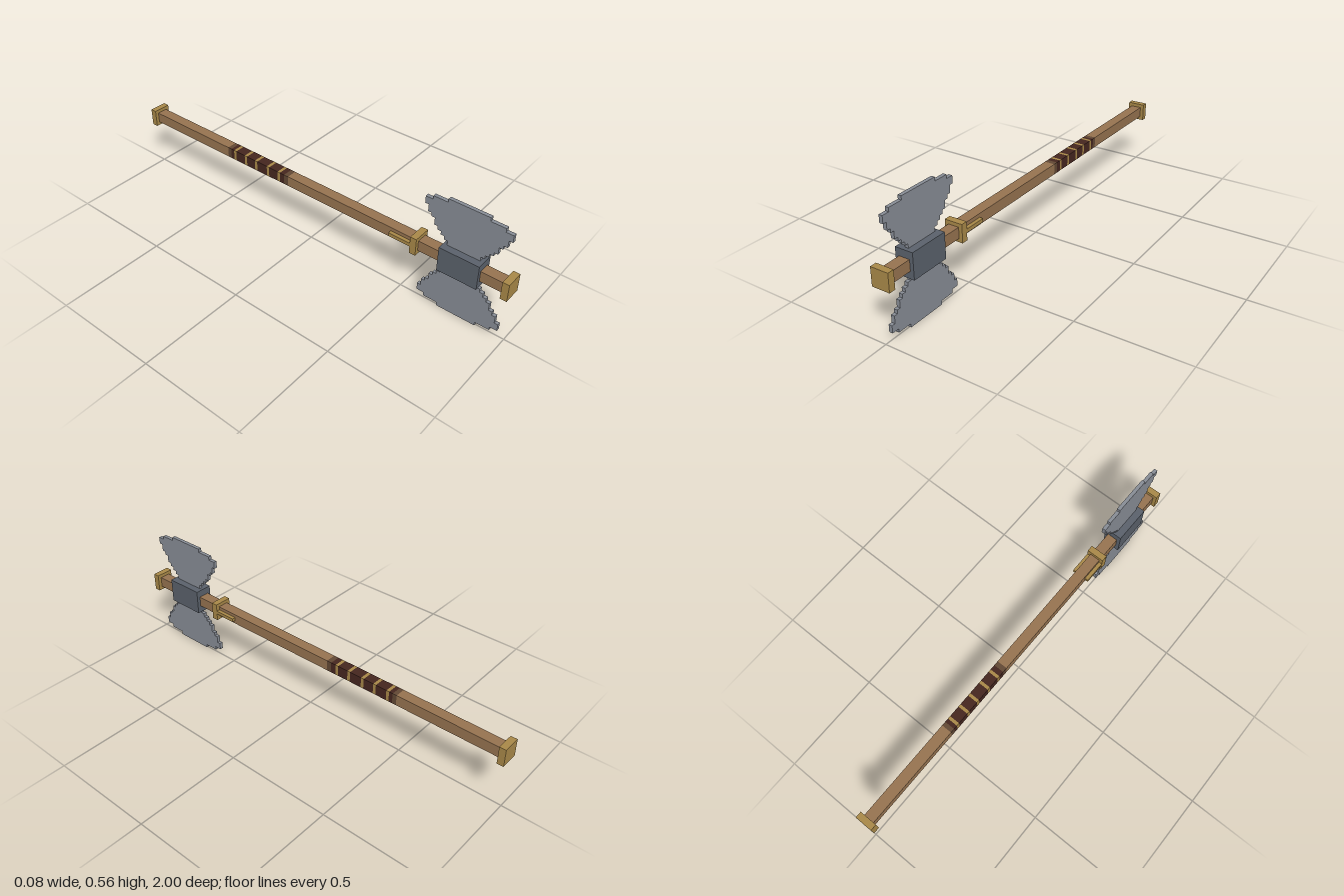
import * as THREE from 'three';

const U = 1 / 60;          // base grid step
const CY = 16.67 * U;      // height of the shaft axis
const HEAD_Z = 0.777;      // centre of the axe head

function material(name, color) {
  const m = new THREE.MeshStandardMaterial({ color });
  m.name = name;
  return m;
}

export function createModel() {
  const wood = material('wood', 0x967350);
  const gold = material('gold', 0xa88848);
  const darkSteel = material('dark steel', 0x5a616b);
  const steel = material('steel', 0x878c95);
  const leather = material('leather', 0x45261f);
  const stainedWood = material('stained wood', 0x624834);

  const model = new THREE.Group();
  model.name = 'doubleAxe';

  // Box centred on the shaft axis, spanning z0 to z1
  function block(name, mat, width, height, z0, z1, x = 0) {
    const mesh = new THREE.Mesh(new THREE.BoxGeometry(width, height, z1 - z0), mat);
    mesh.name = name;
    mesh.position.set(x, CY, (z0 + z1) / 2);
    model.add(mesh);
  }

  // Shaft, interrupted by the grip
  const shaft = 3 * U;
  block('rearShaft', wood, shaft, shaft, -0.972, -0.485);
  block('frontShaft', wood, shaft, shaft, -0.115, 0.972);

  // Grip: stained ends, leather wraps and thin gold rings
  block('gripRearEnd', stainedWood, shaft, shaft, -0.485, -0.465);
  block('gripFrontEnd', stainedWood, shaft, shaft, -0.138, -0.115);
  let z = -0.465;
  for (const ring of [-0.44, -0.372, -0.308, -0.235, -0.17]) {
    block('gripWrap', leather, shaft, shaft, z, ring - 0.007);
    block('gripRing', gold, shaft, shaft, ring - 0.007, ring + 0.007);
    z = ring + 0.007;
  }
  block('gripWrap', leather, shaft, shaft, z, -0.138);

  // End caps, collar and its two side prongs
  const cap = 5 * U;
  block('pommel', gold, cap, cap, -1, -0.97);
  block('frontCap', gold, cap, cap, 0.97, 1);
  block('collar', gold, cap, cap, 0.552, 0.582);
  for (const side of [-1, 1]) {
    block('collarProng', gold, U, U, 0.447, 0.552, side * 2 * U);
  }

  // Head socket
  block('headSocket', darkSteel, cap, 7 * U, HEAD_Z - 5.5 * U, HEAD_Z + 5.5 * U);

  // Stepped blade outline: [distance from axis, half width] of each row's inner edge
  const rows = [[3, 4.5], [4.67, 5.5], [5.67, 6.5], [6.67, 7.5], [7.67, 8.5],
    [9.67, 9.5], [10.67, 10.5], [12.67, 11.5], [14.67, 9.5], [15.67, 5.5]];
  const edge = [];
  rows.forEach(([y, w], i) => {
    const top = i + 1 < rows.length ? rows[i + 1][0] : 16.67;
    edge.push([w, y], [w, top]);
  });
  const outline = [...edge, ...edge.slice().reverse().map(([w, y]) => [-w, y])];
  for (const side of [1, -1]) {
    const shape = new THREE.Shape(outline.map(([w, y]) => new THREE.Vector2(w * U, side * y * U)));
    const geometry = new THREE.ExtrudeGeometry(shape, { depth: U, bevelEnabled: false });
    geometry.translate(0, 0, -U / 2).rotateY(-Math.PI / 2);
    const blade = new THREE.Mesh(geometry, steel);
    blade.name = side > 0 ? 'upperBlade' : 'lowerBlade';
    blade.position.set(0, CY, HEAD_Z);
    model.add(blade);
  }

  return model;
}
